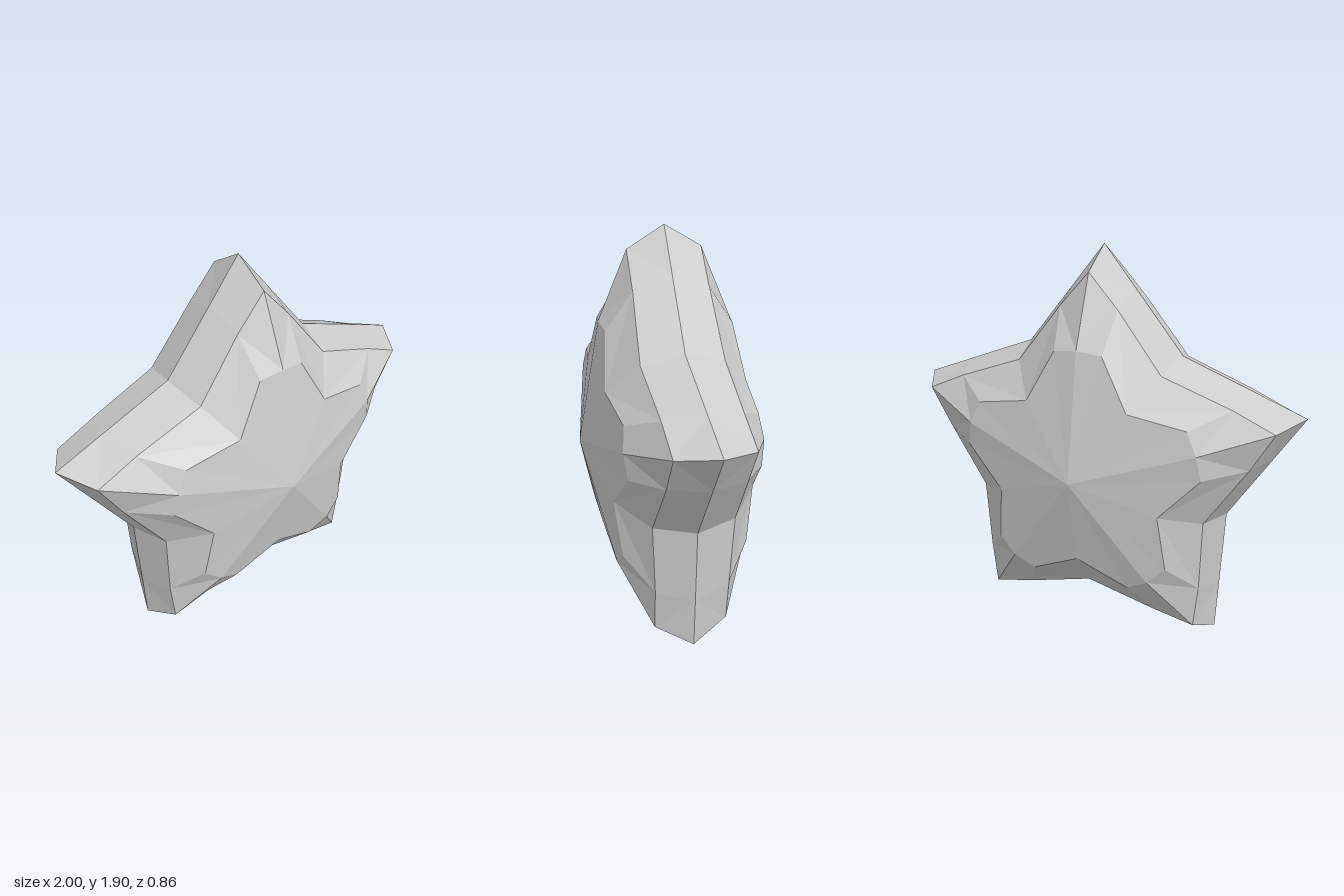
import * as THREE from 'three';

const CENTRE_Y = 0.85;

// Each ring: [radius, angle from the tip in degrees, z] for tip, shoulder and valley
const RINGS = [
  [[1.05, 0, 0], [0.866, 10.7, 0], [0.683, 36, 0]],
  [[0.943, 0, 0.178], [0.795, 10.5, 0.18], [0.62, 36, 0.195]],
  [[0.61, 0, 0.32], [0.607, 11.3, 0.306], [0.432, 36, 0.338]],
];
const APEX = [0, CENTRE_Y, 0.43];

// Repeat tip, shoulder, valley, shoulder around the five arms
function makeRing([tip, shoulder, valley]) {
  const points = [];
  for (let arm = 0; arm < 5; arm++) {
    const base = 90 + arm * 72;
    const mirrored = [shoulder[0], 72 - shoulder[1], shoulder[2]];
    for (const [r, deg, z] of [tip, shoulder, valley, mirrored]) {
      const a = THREE.MathUtils.degToRad(base + deg);
      points.push([r * Math.cos(a), CENTRE_Y + r * Math.sin(a), z]);
    }
  }
  return points;
}

// Faceted half of the star; side is 1 for the front and -1 for the back
function halfStar(side) {
  const rings = RINGS.map(makeRing);
  const positions = [];
  const triangle = (a, b, c) => {
    for (const p of side > 0 ? [a, b, c] : [a, c, b]) positions.push(p[0], p[1], p[2] * side);
  };
  const count = rings[0].length;
  for (let i = 0; i < count; i++) {
    const j = (i + 1) % count;
    // Sloping bands, with diagonals starting at the outer shoulder points
    for (let k = 0; k < rings.length - 1; k++) {
      const outer = rings[k], inner = rings[k + 1];
      if (i % 2 === 0) {
        triangle(outer[i], outer[j], inner[i]);
        triangle(outer[j], inner[j], inner[i]);
      } else {
        triangle(outer[i], outer[j], inner[j]);
        triangle(outer[i], inner[j], inner[i]);
      }
    }
    // Shallow face rising to the middle
    triangle(rings[2][i], rings[2][j], APEX);
  }
  const geometry = new THREE.BufferGeometry();
  geometry.setAttribute('position', new THREE.Float32BufferAttribute(positions, 3));
  geometry.computeVertexNormals();
  return geometry;
}

export function createModel() {
  const group = new THREE.Group();
  group.name = 'star';
  const material = new THREE.MeshStandardMaterial({ color: 0xcccccc, flatShading: true });
  for (const [name, side] of [['starFront', 1], ['starBack', -1]]) {
    const mesh = new THREE.Mesh(halfStar(side), material);
    mesh.name = name;
    group.add(mesh);
  }
  return group;
}
